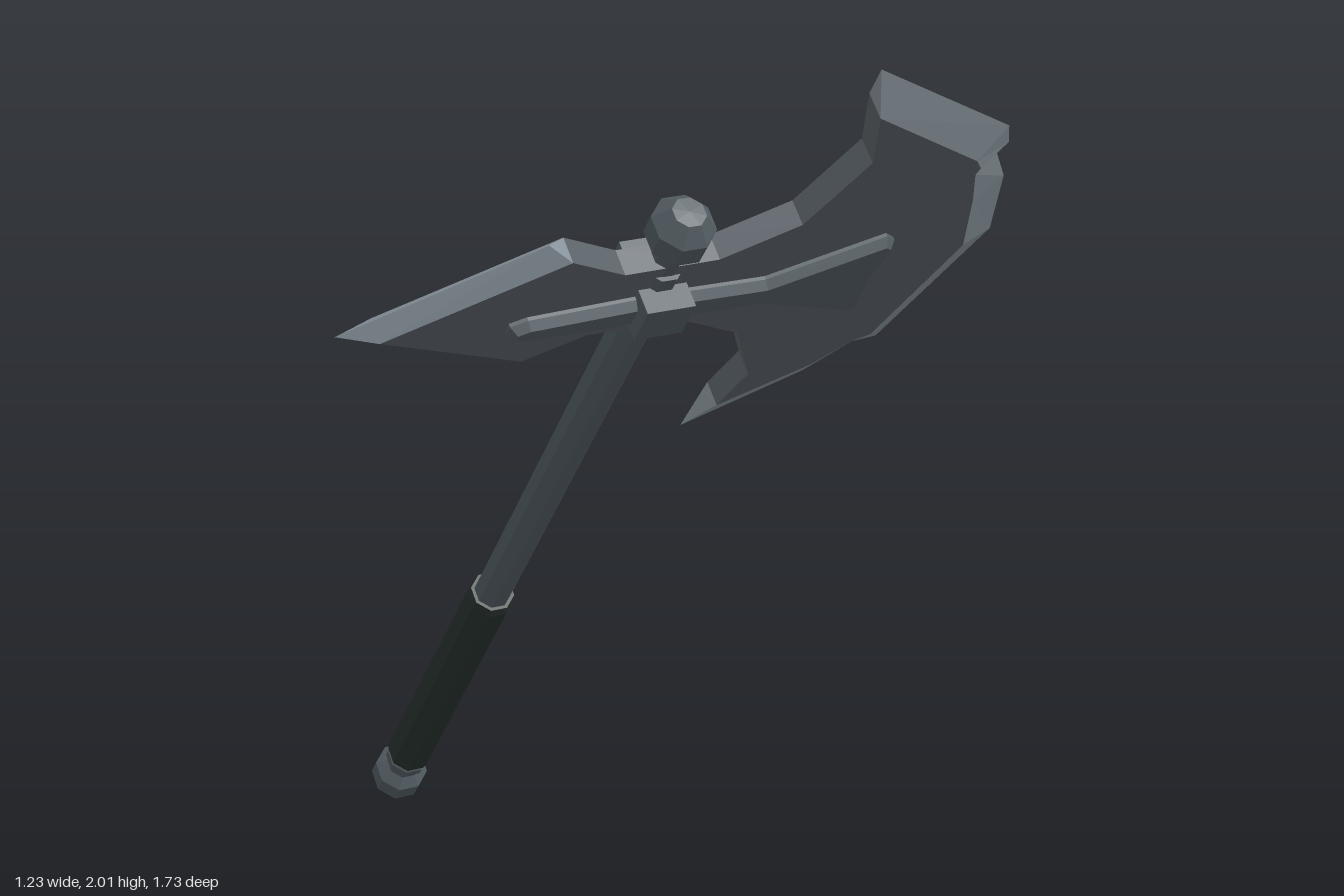
import * as THREE from 'three';

const mat = (name, color) => {
  const m = new THREE.MeshStandardMaterial({ color });
  m.name = name;
  return m;
};

export function createModel() {
  const steel = mat('dark steel', 0x5c6369);
  const edgeSteel = mat('sharpened steel', 0x8a959d);
  const iron = mat('iron', 0x545e64);
  const leather = mat('grip leather', 0x29332f);

  // Everything is built upright (shaft along y, blade in the xy plane), then tilted.
  const axe = new THREE.Group();
  axe.name = 'battleAxe';
  const add = (name, geometry, material) => {
    const mesh = new THREE.Mesh(geometry, material);
    mesh.name = name;
    axe.add(mesh);
    return mesh;
  };

  // Eight-sided faceted turning from [radius, height] pairs
  const turned = (profile) => {
    const g = new THREE.LatheGeometry(
      profile.map(([r, y]) => new THREE.Vector2(r, y)), 8, Math.PI / 8).toNonIndexed();
    g.computeVertexNormals();
    return g;
  };
  const shapeOf = (pts) => new THREE.Shape(pts.map(([x, y]) => new THREE.Vector2(x, y)));

  // Shaft, grip and fittings
  add('shaft', turned([[0, 0.03], [0.037, 0.03], [0.037, 2.06], [0, 2.06]]), iron);
  add('grip', turned([[0, 0.1], [0.046, 0.1], [0.049, 0.12], [0.048, 0.84], [0.044, 0.86], [0, 0.86]]), leather);
  add('gripRing', turned([[0, 0.062], [0.04, 0.062], [0.045, 0.07], [0.045, 0.088], [0.04, 0.095], [0, 0.095]]), iron);
  add('topNeck', turned([[0, 2.05], [0.028, 2.05], [0.028, 2.13], [0, 2.13]]), iron);
  const knob = turned([[0, -0.056], [0.03, -0.054], [0.057, -0.022], [0.057, 0.022], [0.03, 0.054], [0, 0.056]]);
  add('bottomPommel', knob, iron);
  add('topPommel', knob, iron).position.y = 2.161;
  add('collar', new THREE.BoxGeometry(0.09, 0.085, 0.145), iron).position.y = 1.985;

  // Sharpened edges, listed clockwise: the outer line and the line where the bevel begins
  const T = 0.025;
  const bladeEdge = [[0.224, 2.565], [0.553, 2.338], [0.575, 2.285], [0.56, 2.262], [0.611, 2.176],
    [0.657, 2.0], [0.554, 1.667], [0.506, 1.66], [0.434, 1.579], [0.227, 1.444]];
  const bladeInner = [[0.252, 2.46], [0.505, 2.28], [0.522, 2.255], [0.52, 2.235], [0.55, 2.15],
    [0.592, 2.0], [0.512, 1.725], [0.48, 1.71], [0.415, 1.645], [0.258, 1.55]];
  const spikeEdge = [[-0.244, 1.827], [-0.571, 1.99], [-0.241, 2.178]];
  const spikeInner = [[-0.21, 1.845], [-0.5, 1.988], [-0.2, 2.153]];

  // Flat core plate
  const core = shapeOf([
    ...bladeInner,
    [0.288, 1.652], [0.211, 1.816], [0.081, 1.895], [-0.104, 1.9],
    ...spikeInner,
    [-0.086, 2.085], [0.088, 2.087], [0.219, 2.159], [0.289, 2.325],
  ]);
  const coreGeo = new THREE.ExtrudeGeometry(core, { depth: 2 * T, bevelEnabled: false });
  add('bladePlate', coreGeo.translate(0, 0, -T), steel);

  // Wedge from the plate faces to the cutting line
  const wedge = (edge, inner) => {
    const p = [];
    const tri = (...corners) => corners.forEach((c) => p.push(...c));
    const E = edge.map(([x, y]) => [x, y, 0]);
    const F = inner.map(([x, y]) => [x, y, T]);
    const B = inner.map(([x, y]) => [x, y, -T]);
    const n = E.length - 1;
    for (let i = 0; i < n; i++) {
      tri(F[i], F[i + 1], E[i + 1]);
      tri(F[i], E[i + 1], E[i]);
      tri(B[i], E[i + 1], B[i + 1]);
      tri(B[i], E[i], E[i + 1]);
    }
    tri(F[0], E[0], B[0]);
    tri(F[n], B[n], E[n]);
    const g = new THREE.BufferGeometry();
    g.setAttribute('position', new THREE.Float32BufferAttribute(p, 3));
    g.computeVertexNormals();
    return g;
  };
  add('bladeEdge', wedge(bladeEdge, bladeInner), edgeSteel);
  add('spikeEdge', wedge(spikeEdge, spikeInner), edgeSteel);

  // Raised spine on both faces, flaring towards the blade
  const spine = shapeOf([
    [-0.27, 1.96], [-0.24, 1.945], [0, 1.945], [0.2, 1.94], [0.405, 1.862], [0.425, 1.875],
    [0.415, 1.97], [0.425, 2.07], [0.405, 2.087], [0.2, 2.005], [0, 2.01], [-0.24, 1.997], [-0.27, 1.985],
  ]);
  const spineGeo = new THREE.ExtrudeGeometry(spine, {
    depth: 0.064, bevelEnabled: true, bevelThickness: 0.016, bevelSize: 0.011, bevelOffset: -0.011, bevelSegments: 1,
  });
  add('spine', spineGeo.translate(0, 0, -0.032), iron);

  // Lean the axe back along its resting direction
  const up = new THREE.Vector3(-0.039, 0.759, 0.65).normalize();
  const side = new THREE.Vector3(1, 0.02, 0.037);
  side.addScaledVector(up, -side.dot(up)).normalize();
  const normal = new THREE.Vector3().crossVectors(side, up);
  axe.quaternion.setFromRotationMatrix(new THREE.Matrix4().makeBasis(side, up, normal));
  axe.position.set(0.035, 0.053, -0.82);

  const model = new THREE.Group();
  model.name = 'model';
  model.add(axe);
  return model;
}
